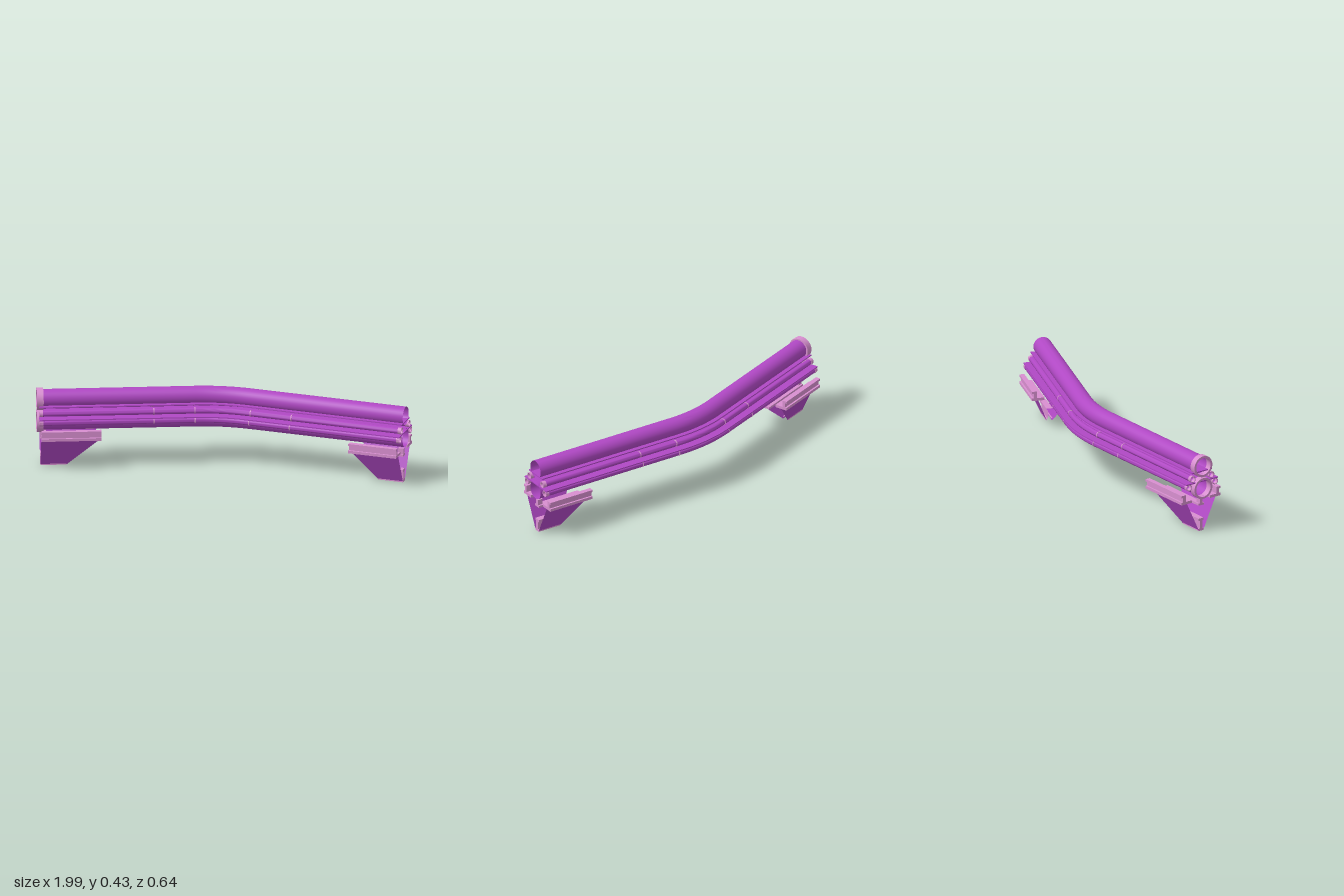
import * as THREE from 'three';
import { toCreasedNormals } from 'three/addons/utils/BufferGeometryUtils.js';

const purple = new THREE.MeshStandardMaterial({ color: 0xb048c4, side: THREE.DoubleSide });
const pink = new THREE.MeshStandardMaterial({ color: 0xd88fd0 });

// Bundle route: straight, arc, straight (s = distance along, d = sideways offset)
const TURN = Math.PI / 8, Z0 = -0.19, X0 = -0.99, X1 = -0.15;
const R = 0.15 / Math.tan(TURN / 2);
const S1 = X1 - X0, S2 = S1 + R * TURN, END = S2 + 0.879;

function place(s, d, y) {
  const a = THREE.MathUtils.clamp((s - S1) / R, 0, TURN);
  const extra = s < S1 ? s - S1 : Math.max(0, s - S2);
  return new THREE.Vector3(
    X1 + (R - d) * Math.sin(a) + extra * Math.cos(a), y,
    Z0 + R - (R - d) * Math.cos(a) + extra * Math.sin(a));
}

// Sweep a cross-section of [d, y] points along the route; caps: both, start, end or none
function sweep(name, contour, s0, s1, material, { hole = null, caps = 'both' } = {}) {
  const stops = [s0];
  for (let i = 0; i <= 8; i++) {
    const s = S1 + (S2 - S1) * i / 8;
    if (s > s0 && s < s1) stops.push(s);
  }
  stops.push(s1);
  const pos = [];
  const tri = (...pts) => pts.forEach(p => pos.push(p.x, p.y, p.z));
  const orient = (pts, ccw) => {
    const v = pts.map(p => new THREE.Vector2(p[0], p[1]));
    return THREE.ShapeUtils.isClockWise(v) === ccw ? v.reverse() : v;
  };
  const loops = [orient(contour, true)];
  if (hole) loops.push(orient(hole, false));
  for (const loop of loops) {
    loop.forEach((p, i) => {
      const q = loop[(i + 1) % loop.length];
      for (let k = 0; k < stops.length - 1; k++) {
        const a = place(stops[k], p.x, p.y), b = place(stops[k + 1], p.x, p.y);
        const c = place(stops[k + 1], q.x, q.y), e = place(stops[k], q.x, q.y);
        tri(a, b, e);
        tri(b, c, e);
      }
    });
  }
  const flat = loops.flat();
  for (const [i, j, k] of THREE.ShapeUtils.triangulateShape(loops[0], loops.slice(1))) {
    const at = s => [i, j, k].map(n => place(s, flat[n].x, flat[n].y));
    if (caps === 'both' || caps === 'start') tri(...at(s0));
    if (caps === 'both' || caps === 'end') tri(...at(s1).reverse());
  }
  return finish(name, pos, material);
}

function finish(name, pos, material) {
  const g = new THREE.BufferGeometry();
  g.setAttribute('position', new THREE.Float32BufferAttribute(pos, 3));
  g.computeVertexNormals();
  const mesh = new THREE.Mesh(toCreasedNormals(g, 0.85), material);
  mesh.name = name;
  return mesh;
}

const circle = (d, y, r, n) => Array.from({ length: n }, (_, i) => {
  const a = (i + 0.5) / n * Math.PI * 2;
  return [d + r * Math.cos(a), y + r * Math.sin(a)];
});
const rect = (d0, d1, y0, y1) => [[d0, y0], [d1, y0], [d1, y1], [d0, y1]];

// I-shaped section between two heights
const iSection = (y0, y1, t) => [
  [-0.017, y0], [0.017, y0], [0.017, y0 + t], [0.009, y0 + t], [0.009, y1 - t], [0.017, y1 - t],
  [0.017, y1], [-0.017, y1], [-0.017, y1 - t], [-0.009, y1 - t], [-0.009, y0 + t], [-0.017, y0 + t]];

// V-shaped stand under one end; dir points from the outer end inwards
function support(name, outer, dir, length) {
  const g = new THREE.Group();
  g.name = name;
  const span = (part, shape, from, to, opts) => {
    const a = outer + dir * from, b = outer + dir * to;
    g.add(sweep(part, shape, Math.min(a, b), Math.max(a, b), pink, opts));
  };
  const outerCap = { caps: dir > 0 ? 'start' : 'end' };
  for (const m of [-1, 1]) {
    // rail with a wide foot and a small lip
    const rail = [[0.06, 0.172], [0.13, 0.172], [0.13, 0.187], [0.12, 0.187], [0.12, 0.213],
      [0.13, 0.213], [0.13, 0.225], [0.103, 0.225], [0.103, 0.187], [0.06, 0.187]];
    span('rail', rail.map(([d, y]) => [d * m, y]), 0, length);
    // sloping side panel
    const corners = [place(outer, m * 0.095, 0.173), place(outer + dir * length, m * 0.095, 0.173),
      place(outer + dir * 0.14, m * 0.014, 0), place(outer, m * 0.014, 0)];
    const order = m * dir > 0 ? [0, 2, 1, 0, 3, 2] : [0, 1, 2, 0, 2, 3];
    const pos = order.flatMap(i => corners[i].toArray());
    g.add(finish('sidePanel', pos, purple));
  }
  span('centreStrip', rect(-0.018, 0.018, 0.145, 0.157), 0, length);
  span('centrePost', rect(-0.009, 0.009, 0.157, 0.188), 0, 0.03, outerCap);
  span('keel', iSection(0, 0.07, 0.013), 0, 0.14, outerCap);
  return g;
}

export function createModel() {
  const model = new THREE.Group();
  model.name = 'pipeBundle';

  // Two large pipes with end flanges
  for (const y of [0.373, 0.248]) {
    model.add(sweep('largePipe', circle(0, y, 0.05, 32), 0, END, purple, { caps: 'none' }));
    model.add(sweep('endFlange', circle(0, y - 0.002, 0.06, 20), -0.01, 0.025, pink,
      { hole: circle(0, y - 0.002, 0.048, 20) }));
  }

  // Four small pipes with end rims and couplings
  for (const [d, y] of [[0.062, 0.308], [0.087, 0.265]]) {
    for (const m of [-1, 1]) {
      model.add(sweep('smallPipe', circle(m * d, y, 0.0165, 16), 0, END, purple, { caps: 'none' }));
      for (const [s, w] of [[0, 0.02], [0.61, 0.006], [0.83, 0.006], [1.16, 0.006], [1.39, 0.006], [END - 0.02, 0.02]]) {
        model.add(sweep('coupling', circle(m * d, y, 0.0185, 12), s, s + w, pink,
          { hole: circle(m * d, y, 0.0145, 12) }));
      }
    }
  }

  // Thin carrier plates along the route
  for (const [w, y] of [[0.066, 0.342], [0.106, 0.284]]) {
    model.add(sweep('carrierPlate', rect(-w, w, y - 0.003, y + 0.003), 0, END, purple));
  }

  model.add(support('rightSupport', 0.01, 1, 0.32));
  model.add(support('leftSupport', END - 0.01, -1, 0.27));
  return model;
}
